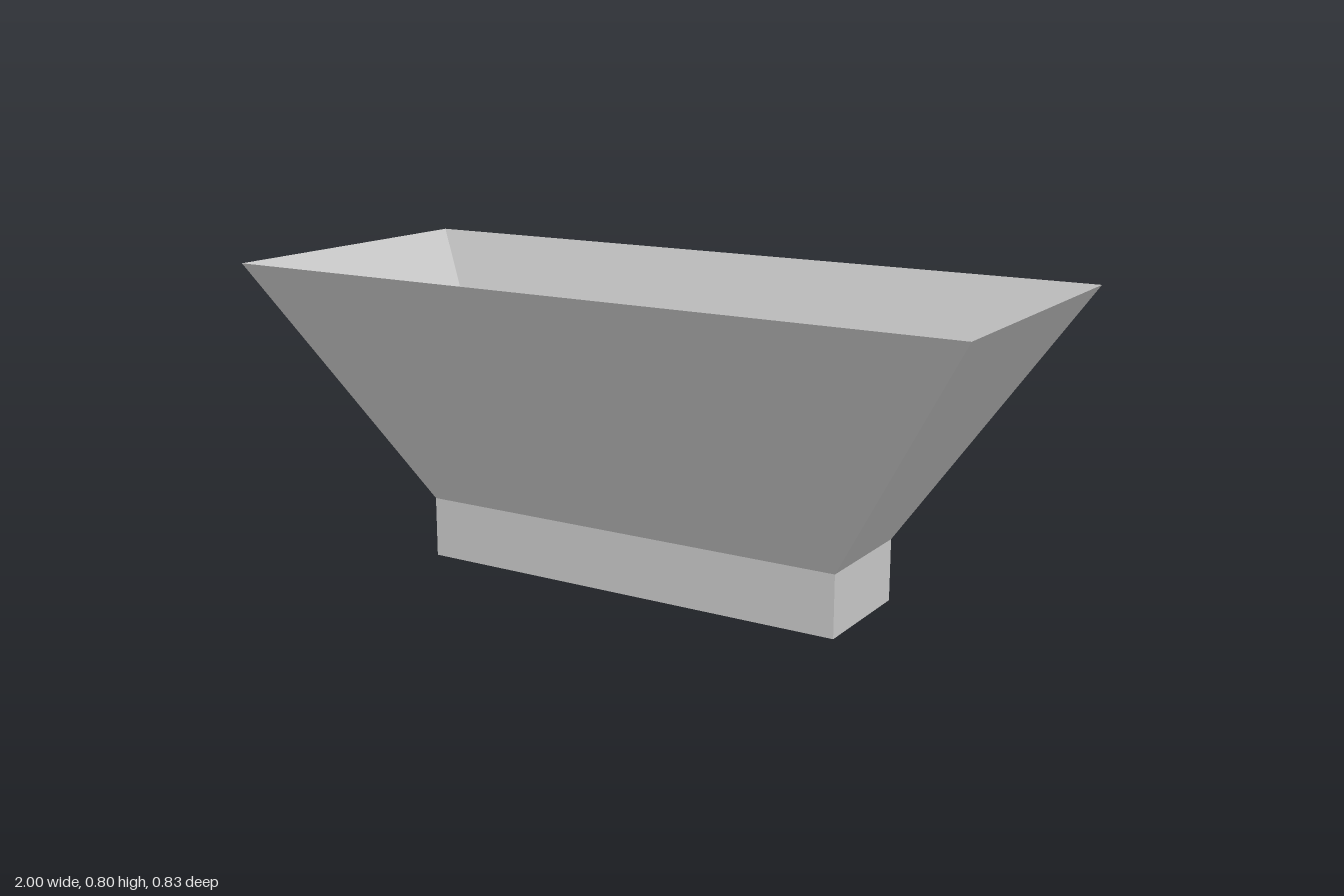
import * as THREE from 'three';

const material = new THREE.MeshStandardMaterial({
  color: 0xcccccc, flatShading: true, side: THREE.DoubleSide,
});

// Rectangular cross-section at height y, with half sizes hx and hz
const section = (y, hx, hz) => [[-hx, y, hz], [hx, y, hz], [hx, y, -hz], [-hx, y, -hz]];

// Open four-sided band between two cross-sections, with hard corners
function band(name, lower, upper) {
  const positions = [];
  for (let i = 0; i < 4; i++) {
    const j = (i + 1) % 4;
    const [a, b, c, d] = [lower[i], lower[j], upper[j], upper[i]];
    positions.push(...a, ...b, ...c, ...a, ...c, ...d);
  }
  const geometry = new THREE.BufferGeometry();
  geometry.setAttribute('position', new THREE.Float32BufferAttribute(positions, 3));
  geometry.computeVertexNormals();
  const mesh = new THREE.Mesh(geometry, material);
  mesh.name = name;
  return mesh;
}

export function createModel() {
  const model = new THREE.Group();
  model.name = 'planter';

  const foot = section(0, 0.593, 0.158);
  const neck = section(0.16, 0.593, 0.158);
  const rim = section(0.795, 1, 0.417);

  // Upright skirt, open underneath, and flared walls, open on top
  model.add(band('base', foot, neck), band('flaredWalls', neck, rim));

  // Floor between the base and the flared walls
  const floor = new THREE.Mesh(new THREE.PlaneGeometry(1.186, 0.316), material);
  floor.name = 'floor';
  floor.rotation.x = -Math.PI / 2;
  floor.position.y = 0.16;
  model.add(floor);

  return model;
}
